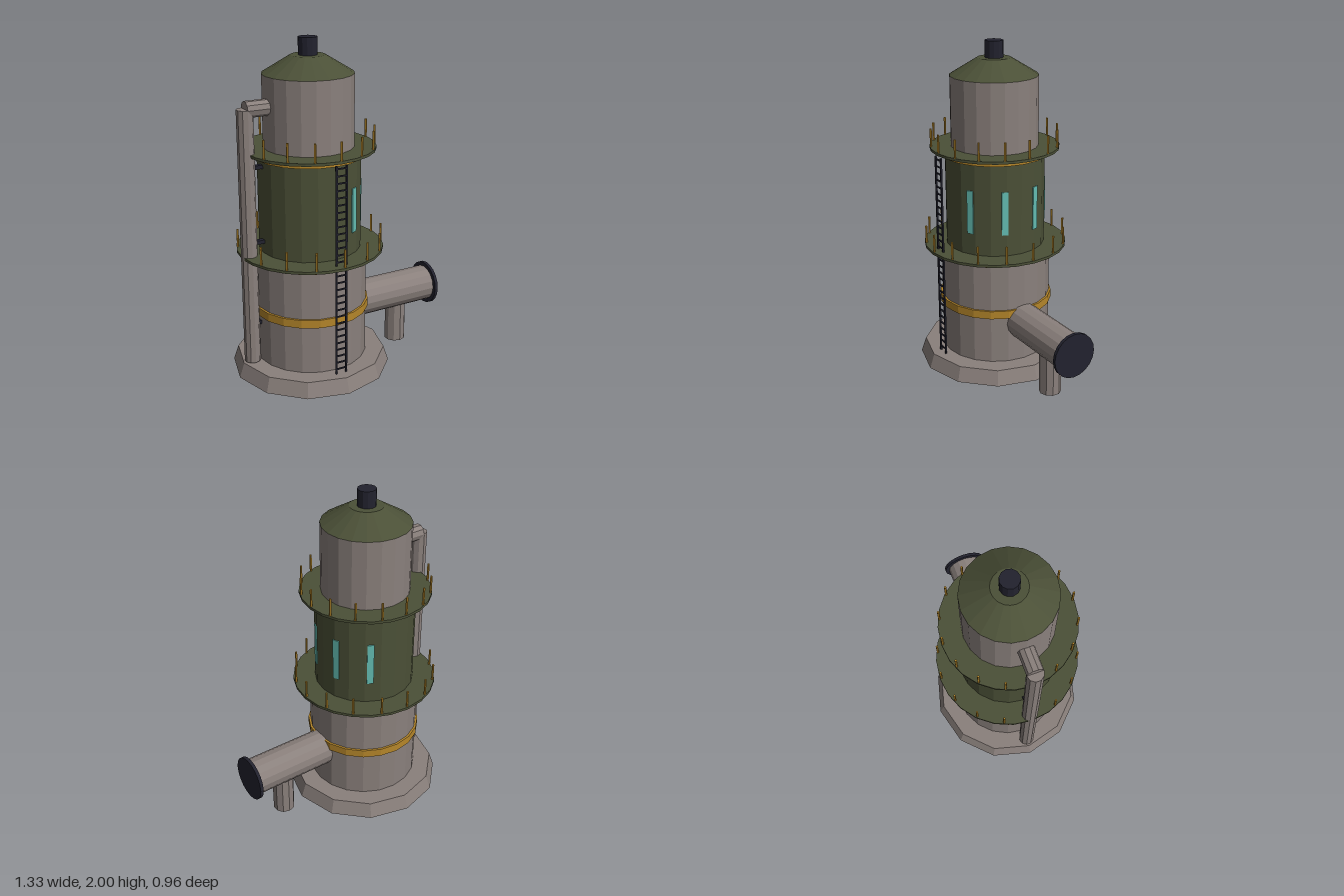
import * as THREE from 'three';

const mat = (name, color) => {
  const m = new THREE.MeshStandardMaterial({ color, flatShading: true });
  m.name = name;
  return m;
};

export function createModel() {
  const steel = mat('warm grey steel', 0x8a807c);
  const olive = mat('olive paint', 0x4b5037);
  const gold = mat('ochre trim', 0xb5862a);
  const dark = mat('dark iron', 0x22222e);
  const glass = mat('teal glass', 0x64bcb2);

  const model = new THREE.Group();
  model.name = 'processTower';
  const tower = new THREE.Group();
  tower.name = 'tower';
  tower.position.x = -0.187;
  model.add(tower);

  const add = (parent, name, geometry, material, x = 0, y = 0, z = 0) => {
    const mesh = new THREE.Mesh(geometry, material);
    mesh.name = name;
    mesh.position.set(x, y, z);
    parent.add(mesh);
    return mesh;
  };
  // Upright drum between two heights
  const drum = (parent, name, material, y0, y1, rBottom, rTop = rBottom, sides = 20, x = 0) =>
    add(parent, name, new THREE.CylinderGeometry(rTop, rBottom, y1 - y0, sides), material, x, (y0 + y1) / 2);
  // Horizontal pipe along x
  const pipe = (parent, name, material, x0, x1, y, r, sides) => {
    const mesh = add(parent, name, new THREE.CylinderGeometry(r, r, x1 - x0, sides), material, (x0 + x1) / 2, y);
    mesh.rotation.z = -Math.PI / 2;
    return mesh;
  };

  // Tower body
  drum(tower, 'base', steel, 0, 0.09, 0.48, 0.45, 12);
  drum(tower, 'lowerBody', steel, 0.09, 0.76, 0.336);
  drum(tower, 'middleBody', olive, 0.76, 1.37, 0.302);
  drum(tower, 'upperBody', steel, 1.37, 1.8, 0.264);
  drum(tower, 'roof', olive, 1.8, 1.9, 0.264, 0.1);
  drum(tower, 'chimney', dark, 1.9, 2, 0.055, 0.055, 12);

  // Trim bands
  drum(tower, 'lowerBand', gold, 0.383, 0.433, 0.349);
  drum(tower, 'lowerDeckBand', gold, 0.72, 0.757, 0.355);
  drum(tower, 'upperDeckBand', gold, 1.33, 1.367, 0.322);

  // Walkway decks with railing posts
  const postGeometry = new THREE.CylinderGeometry(0.007, 0.007, 0.11, 5);
  for (const [name, top, radius, postRadius] of [['lowerDeck', 0.772, 0.437, 0.426], ['upperDeck', 1.38, 0.39, 0.381]]) {
    drum(tower, name, olive, top - 0.016, top, radius, radius, 24);
    for (let i = 0; i < 16; i++) {
      const a = (i / 16) * Math.PI * 2;
      add(tower, name + 'Post', postGeometry, gold, Math.sin(a) * postRadius, top + 0.053, Math.cos(a) * postRadius);
    }
  }

  // Tall windows on the left side
  const windowGeometry = new THREE.BoxGeometry(0.04, 0.265, 0.012);
  for (const degrees of [30, 70, 110, 150]) {
    const a = THREE.MathUtils.degToRad(degrees);
    const pane = add(tower, 'window', windowGeometry, glass, Math.sin(a) * 0.3, 1.037, Math.cos(a) * 0.3);
    pane.rotation.y = a;
  }

  // Ladder
  const ladder = new THREE.Group();
  ladder.name = 'ladder';
  ladder.position.z = 0.383;
  tower.add(ladder);
  for (const side of [-1, 1]) {
    add(ladder, 'ladderRail', new THREE.BoxGeometry(0.01, 1.265, 0.01), dark, side * 0.032, 0.7225);
  }
  const rungGeometry = new THREE.BoxGeometry(0.064, 0.008, 0.008);
  for (let i = 0; i < 30; i++) add(ladder, 'ladderRung', rungGeometry, dark, 0, 0.12 + i * 0.042);

  // Outlet pipe with end flange and support leg
  pipe(model, 'outletPipe', steel, 0.1, 0.65, 0.34, 0.111, 16);
  pipe(model, 'outletFlange', dark, 0.647, 0.667, 0.34, 0.136, 20);
  drum(model, 'outletSupport', steel, 0, 0.27, 0.066, 0.066, 10, 0.43);

  // Side riser pipe with connection and brackets
  drum(model, 'riserPipe', steel, 0.1, 1.632, 0.048, 0.048, 10, -0.58);
  pipe(model, 'riserConnection', steel, -0.58, -0.4, 1.63, 0.048, 10);
  for (const y of [0.34, 0.845, 1.295]) {
    add(model, 'riserBracket', new THREE.BoxGeometry(0.11, 0.022, 0.03), dark, -0.525, y);
  }
  return model;
}
